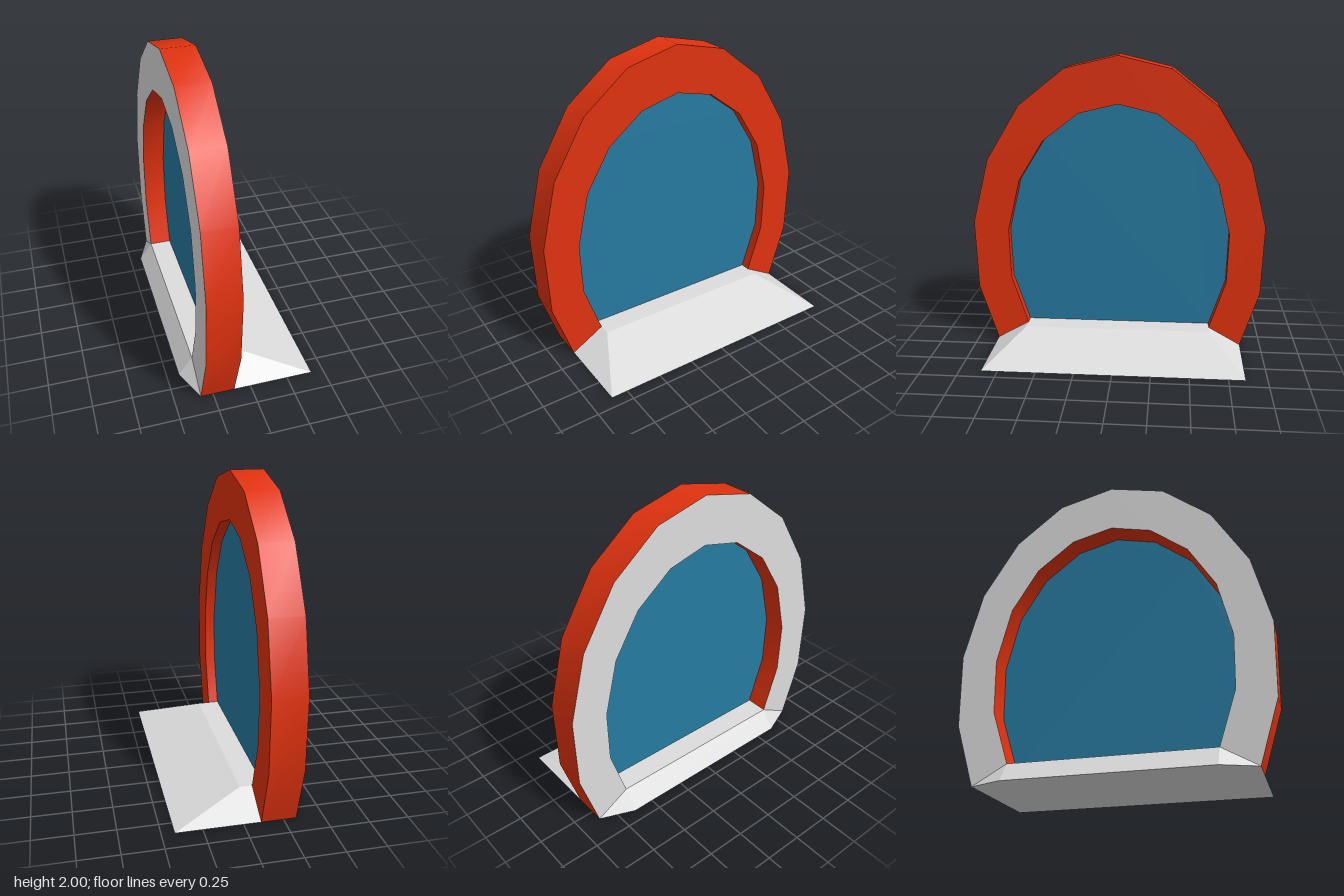
import * as THREE from 'three';
import { ConvexGeometry } from 'three/addons/geometries/ConvexGeometry.js';

const red = new THREE.MeshStandardMaterial({ color: 0xe0320f });
red.name = 'red';
const grey = new THREE.MeshStandardMaterial({ color: 0xdcdcdc });
grey.name = 'lightGrey';
const blue = new THREE.MeshStandardMaterial({ color: 0x267aa0, side: THREE.DoubleSide });
blue.name = 'blue';

// Half outlines of the arch as [z, y], from the foot up to the crown
const OUTER = [[0.86, 0], [0.985, 0.39], [1, 0.86], [0.89, 1.3], [0.665, 1.67], [0.355, 1.915], [0, 2]];
const INNER = [[0.64, 0.125], [0.75, 0.46], [0.76, 0.805], [0.675, 1.16], [0.505, 1.435], [0.265, 1.62], [0, 1.685]];
const BACK = -0.33, FRONT = -0.11, PANEL = -0.18;

// Mirror a half outline into a full one, foot to foot
const full = (half) => [...half, ...half.slice(0, -1).reverse().map(([z, y]) => [-z, y])];
const at = (x, outline) => outline.map(([z, y]) => [x, y, z]);

// Ribbon of quads between two rows of points, smooth along its length
function strip(a, b) {
  const n = a.length, index = [];
  for (let i = 0; i < n - 1; i++) index.push(i, i + 1, n + i, i + 1, n + i + 1, n + i);
  const geometry = new THREE.BufferGeometry();
  geometry.setAttribute('position', new THREE.Float32BufferAttribute([...a, ...b].flat(), 3));
  geometry.setIndex(index);
  geometry.computeVertexNormals();
  return geometry;
}

export function createModel() {
  const model = new THREE.Group();
  model.name = 'archedDoorway';
  const add = (parent, name, geometry, material) => {
    const mesh = new THREE.Mesh(geometry, material);
    mesh.name = name;
    parent.add(mesh);
    return mesh;
  };
  const outer = full(OUTER), inner = full(INNER);

  // Arch: separate walls keep the side edges sharp
  const arch = new THREE.Group();
  arch.name = 'arch';
  model.add(arch);
  add(arch, 'archOuterWall', strip(at(FRONT, outer), at(BACK, outer)), red);
  add(arch, 'archInnerWall', strip(at(BACK, inner), at(FRONT, inner)), red);
  add(arch, 'archFrontFace', strip(at(FRONT, inner), at(FRONT, outer)), red);
  add(arch, 'archBackFace', strip(at(BACK, outer), at(BACK, inner)), grey);

  // Panel filling the opening
  const opening = new THREE.Shape(inner.map(([z, y]) => new THREE.Vector2(-z, y)));
  const panel = add(model, 'panel', new THREE.ShapeGeometry(opening).rotateY(Math.PI / 2), blue);
  panel.position.x = PANEL;

  // Base: low ramp with sloping ends that meet the feet of the arch
  const corners = [];
  for (const s of [1, -1]) {
    for (const [x, y, z] of [[-0.42, 0, 0.64], [BACK, 0, 0.86], [0.42, 0, 0.86], [BACK, 0.125, 0.64], [-0.03, 0.125, 0.64]]) {
      corners.push(new THREE.Vector3(x, y, s * z));
    }
  }
  add(model, 'base', new ConvexGeometry(corners), grey);

  return model;
}
